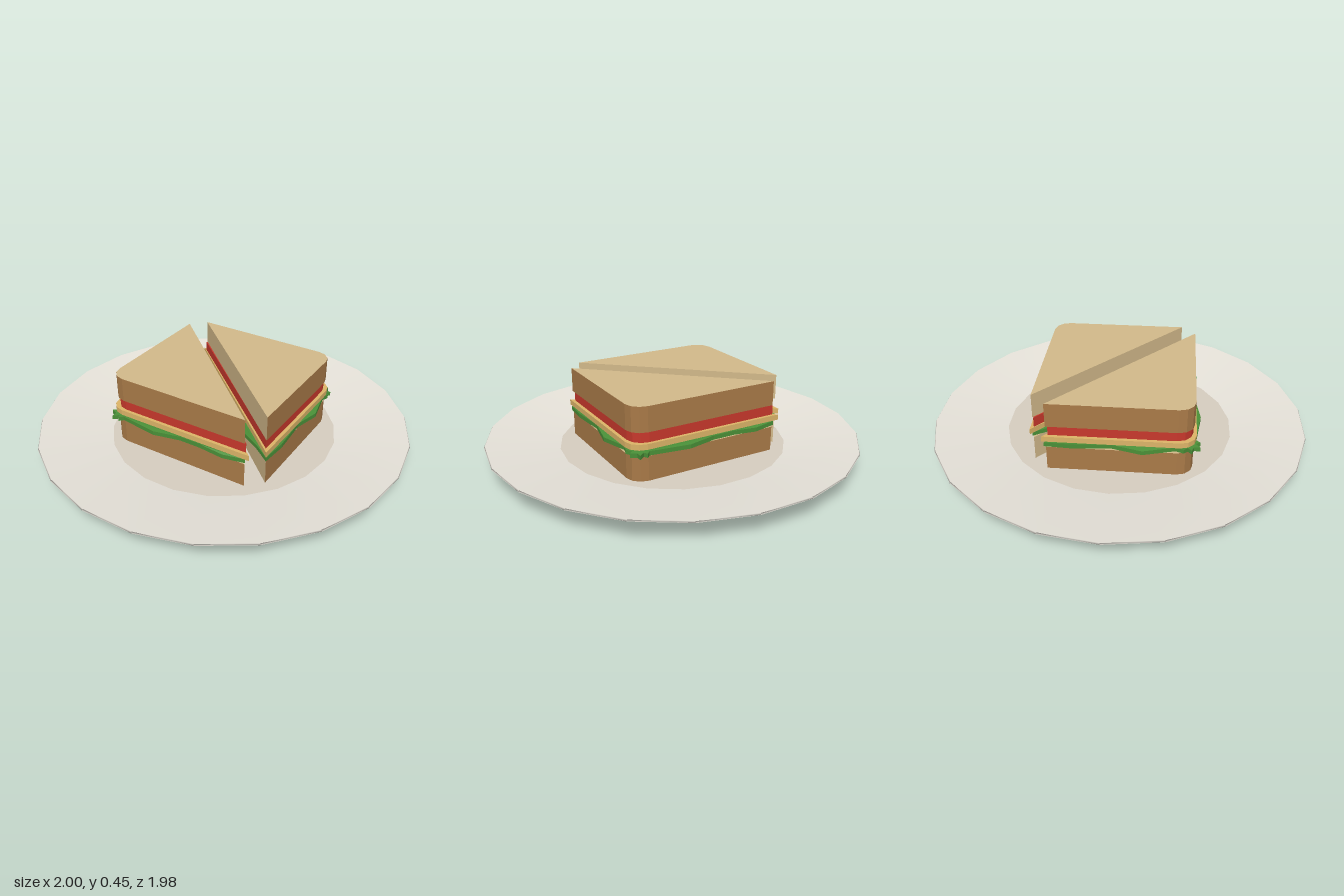
import * as THREE from 'three';

const mat = (color, extra = {}) => new THREE.MeshStandardMaterial({ color, ...extra });
const CRUMB = mat(0xd2b98a);
const CRUST = mat(0xa97a48);
const CHEESE = mat(0xdcb468);
const TOMATO = mat(0xc8382c);
const LETTUCE = mat(0x4a9038, { flatShading: true });
const PLATE = mat(0xe6e2d9, { side: THREE.DoubleSide });
const WELL = mat(0xd6cdc0);

// Horizontal slab between two heights from an outline of [x, z] corners
function slab(points, bottom, top) {
  const shape = new THREE.Shape(points.map(([x, z]) => new THREE.Vector2(x, z)));
  const geo = new THREE.ExtrudeGeometry(shape, { depth: top - bottom, bevelEnabled: false });
  return geo.rotateX(Math.PI / 2).translate(0, top, 0);
}

// Half-slice outline: two sharp tips and one rounded outer corner
function halfSlice(tipX, back, right, tipZ, r = 0.08) {
  const pts = [[tipX, back]];
  for (let i = 0; i <= 3; i++) {
    const a = (i / 3) * Math.PI / 2;
    pts.push([right - r + r * Math.sin(a), back + r - r * Math.cos(a)]);
  }
  pts.push([right, tipZ]);
  return pts;
}

function addMesh(parent, name, geometry, material) {
  const mesh = new THREE.Mesh(geometry, material);
  mesh.name = name;
  parent.add(mesh);
}

// Bread: crust on the outer sides, crumb on the flat faces and the cut
function addBread(parent, name, bottom, top) {
  const geo = slab(halfSlice(-0.365, -0.4, 0.44, 0.325), bottom, top);
  const pos = geo.attributes.position, tri = new THREE.Triangle(), n = new THREE.Vector3();
  const crumb = [], crust = [];
  for (let i = 0; i < pos.count; i += 3) {
    tri.setFromAttributeAndIndices(pos, i, i + 1, i + 2);
    tri.getNormal(n);
    const isCut = n.x < -0.3 && n.z > 0.3;
    const list = Math.abs(n.y) > 0.5 || isCut ? crumb : crust;
    for (const v of [tri.a, tri.b, tri.c]) list.push(v.clone());
  }
  const group = new THREE.Group();
  group.name = name;
  for (const [part, list, material] of [['crumb', crumb, CRUMB], ['crust', crust, CRUST]]) {
    const g = new THREE.BufferGeometry().setFromPoints(list);
    g.computeVertexNormals();
    addMesh(group, part, g, material);
  }
  parent.add(group);
}

// Ruffled leaf with a frilly corner and bulging edges
function lettuceGeometry() {
  const outline = [
    [-0.37, -0.405], [-0.25, -0.42], [-0.12, -0.415], [0, -0.41], [0.15, -0.437], [0.36, -0.41],
    [0.38, -0.432], [0.39, -0.408], [0.42, -0.432], [0.42, -0.4], [0.452, -0.39], [0.432, -0.37],
    [0.455, -0.35], [0.442, -0.31], [0.476, -0.15], [0.446, 0], [0.46, 0.2], [0.445, 0.335],
    [0.36, 0.275], [0.23, 0.2], [0.14, 0.08], [0, -0.05], [-0.1, -0.125], [-0.22, -0.205], [-0.3, -0.3],
  ];
  const geo = slab(outline, 0.209, 0.231);
  const pos = geo.attributes.position;
  for (let i = 0; i < pos.count; i++) {
    pos.setY(i, pos.getY(i) + 0.005 * Math.sin(pos.getX(i) * 19 + pos.getZ(i) * 23));
  }
  geo.computeVertexNormals();
  return geo;
}

// Stacked half sandwich on the back-right side of the diagonal cut
function createHalf(name) {
  const half = new THREE.Group();
  half.name = name;
  addBread(half, 'bottomBread', 0.07, 0.2);
  addMesh(half, 'lettuce', lettuceGeometry(), LETTUCE);
  addMesh(half, 'cheese', slab(halfSlice(-0.395, -0.412, 0.45, 0.345), 0.238, 0.267), CHEESE);
  addMesh(half, 'tomato', slab(halfSlice(-0.37, -0.395, 0.432, 0.315), 0.267, 0.32), TOMATO);
  addBread(half, 'topBread', 0.32, 0.45);
  return half;
}

export function createModel() {
  const model = new THREE.Group();
  model.name = 'sandwichOnPlate';

  // Plate: flat foot, flared rim and a round well
  const sides = 22;
  const start = Math.PI / sides;
  const profile = [[0.65, 0], [1, 0.113], [0.995, 0.12], [0.61, 0.066]];
  const plate = new THREE.Group();
  plate.name = 'plate';
  addMesh(plate, 'rim', new THREE.LatheGeometry(
    profile.map(([r, y]) => new THREE.Vector2(r, y)), sides, start), PLATE);
  addMesh(plate, 'well', new THREE.CircleGeometry(0.61, sides).rotateX(-Math.PI / 2)
    .translate(0, 0.066, 0), WELL);
  addMesh(plate, 'foot', new THREE.CircleGeometry(0.65, sides).rotateX(Math.PI / 2), PLATE);
  model.add(plate);

  // Two identical halves, turned about the centre
  const other = createHalf('frontLeftHalf');
  other.name = 'frontHalf';
  other.rotation.y = Math.PI;
  model.add(createHalf('backHalf'), other);
  return model;
}
